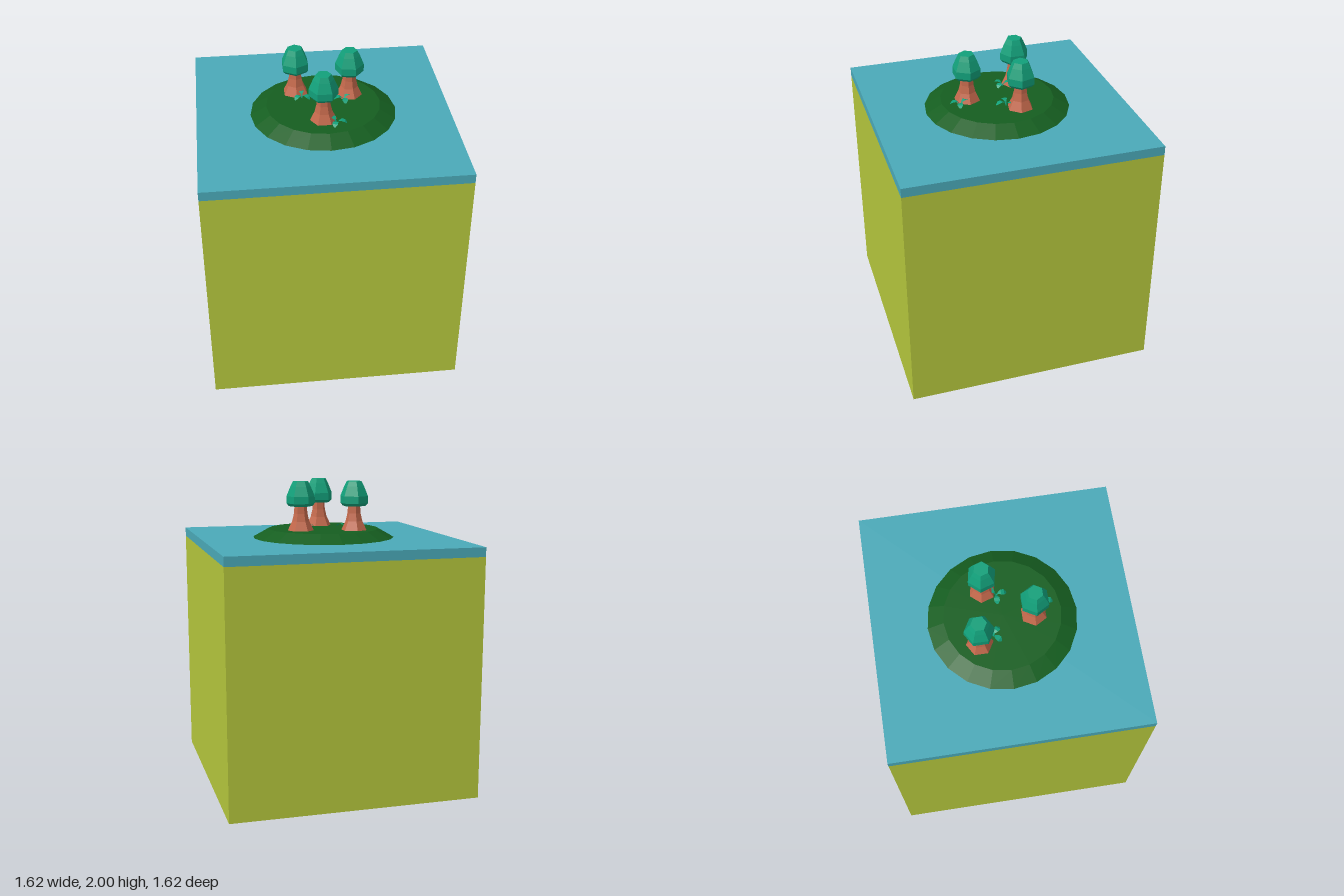
import * as THREE from 'three';

const mat = (color, side = THREE.FrontSide) =>
  new THREE.MeshStandardMaterial({ color, side, flatShading: true });

const SAND = mat(0xb4c63c), WATER = mat(0x4aa9b8), GRASS = mat(0x155e20);
const BARK = mat(0xc4694c), CROWN = mat(0x12a07a), LEAF = mat(0x12a07a, THREE.DoubleSide);
const GROUND = 1.682;

function add(parent, name, geometry, material, y = 0) {
  const mesh = new THREE.Mesh(geometry, material);
  mesh.name = name;
  mesh.position.y = y;
  parent.add(mesh);
  return mesh;
}

const lathe = (profile) =>
  new THREE.LatheGeometry(profile.map(([r, y]) => new THREE.Vector2(r, y)), 6);

// Six-sided flared trunk and faceted crown, base at y = 0
function makeTree(x, z, turn) {
  const tree = new THREE.Group();
  tree.name = 'tree';
  add(tree, 'trunk', lathe([[0.085, 0], [0.056, 0.06], [0.044, 0.11], [0.04, 0.165]]), BARK);
  add(tree, 'crown', lathe([[0, 0.158], [0.076, 0.158], [0.092, 0.176], [0.092, 0.222],
    [0.066, 0.285], [0.049, 0.318], [0, 0.318]]), CROWN);
  tree.position.set(x, GROUND, z);
  tree.rotation.y = turn;
  return tree;
}

// Arching leaf blade along +z: [distance, height, half width]
function leafGeometry() {
  const rows = [[0, 0, 0.004], [0.014, 0.025, 0.006], [0.032, 0.034, 0.017],
    [0.052, 0.029, 0.018], [0.066, 0.014, 0.005]];
  const positions = [], index = [];
  rows.forEach(([d, h, w], i) => {
    positions.push(-w, h, d, w, h, d);
    if (i) {
      const a = 2 * i - 2;
      index.push(a, a + 2, a + 1, a + 1, a + 2, a + 3);
    }
  });
  const geometry = new THREE.BufferGeometry();
  geometry.setAttribute('position', new THREE.Float32BufferAttribute(positions, 3));
  geometry.setIndex(index);
  geometry.computeVertexNormals();
  return geometry;
}

// Three-leaved sprout
function makeSprout(x, z, turn) {
  const sprout = new THREE.Group();
  sprout.name = 'sprout';
  const geometry = leafGeometry();
  for (const angle of [-0.8, 0.8, Math.PI]) {
    add(sprout, 'leaf', geometry, LEAF).rotation.y = angle;
  }
  sprout.position.set(x, GROUND, z);
  sprout.rotation.y = turn;
  return sprout;
}

export function createModel() {
  const model = new THREE.Group();
  model.name = 'islandBlock';

  // Block of ground with a layer of water on top
  add(model, 'groundBlock', new THREE.BoxGeometry(1.625, 1.565, 1.625), SAND, 0.7825);
  add(model, 'waterLayer', new THREE.BoxGeometry(1.625, 0.06, 1.625), WATER, 1.595);

  // Low island with sloping shore
  add(model, 'island', new THREE.CylinderGeometry(0.366, 0.468, GROUND - 1.625, 20), GRASS,
    (GROUND + 1.625) / 2);

  // Trees: x, z, turn
  for (const t of [[-0.163, -0.165, 0], [0.18, -0.1, 0.33], [-0.02, 0.193, Math.PI / 6]]) {
    model.add(makeTree(...t));
  }

  // Sprouts beside the trees
  for (const s of [[-0.13, -0.078, 0], [0.136, -0.02, -0.75], [0.055, 0.257, 0.5]]) {
    model.add(makeSprout(...s));
  }
  return model;
}
